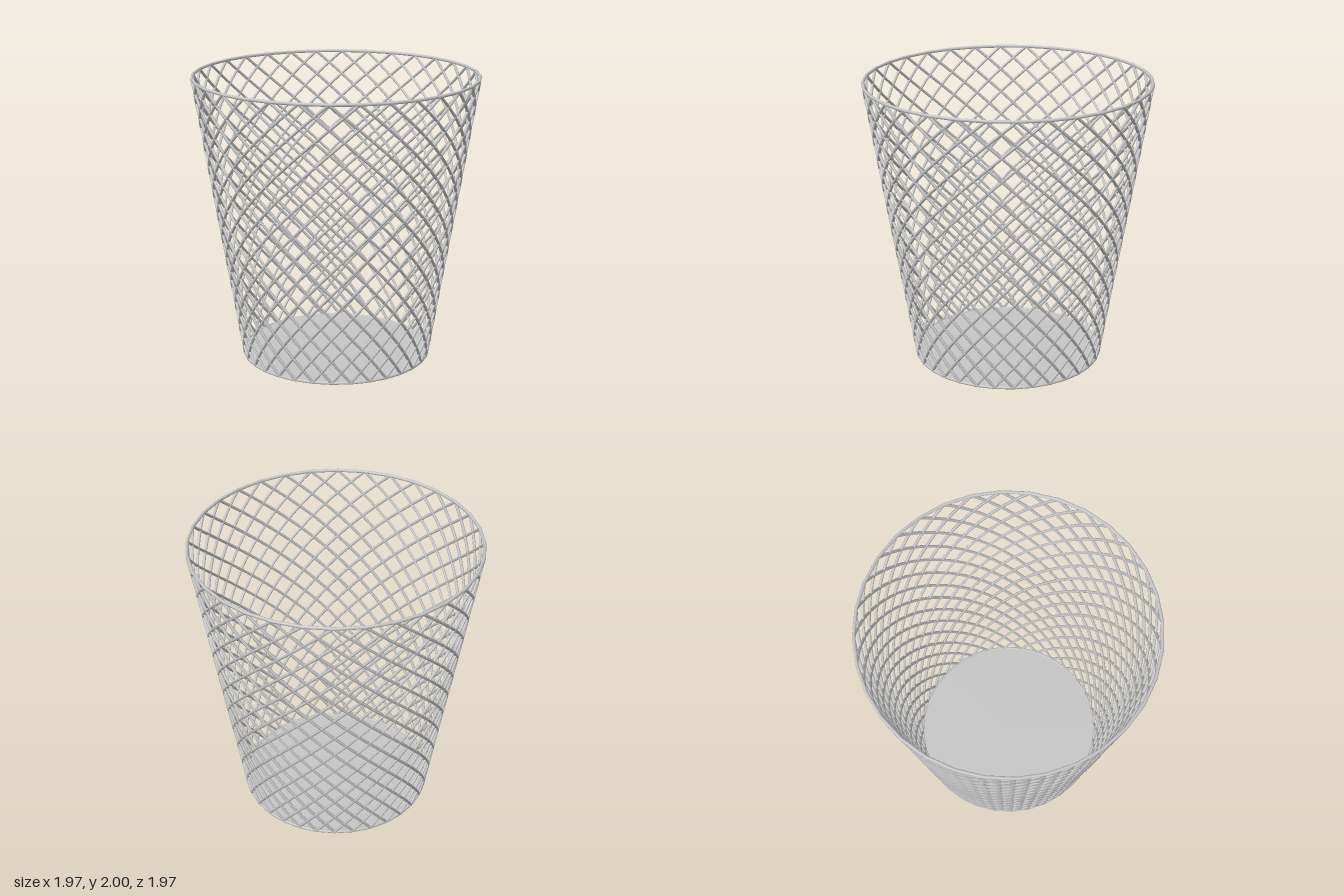
import * as THREE from 'three';

const SIDES = 32;            // wires in each direction, and rim segments
const TWIST = (12 / SIDES) * Math.PI * 2;
const WIRE = 0.01;
const Y0 = 0.011, Y1 = 1.989;
const R0 = 0.655, R1 = 0.976;

// One helical wire running up the tapered wall
class WireCurve extends THREE.Curve {
  constructor(direction) {
    super();
    this.direction = direction;
  }
  getPoint(t, target = new THREE.Vector3()) {
    const angle = this.direction * TWIST * t;
    const r = THREE.MathUtils.lerp(R0, R1, t);
    return target.set(r * Math.sin(angle), THREE.MathUtils.lerp(Y0, Y1, t), r * Math.cos(angle));
  }
}

export function createModel() {
  const model = new THREE.Group();
  model.name = 'wireBasket';
  const metal = new THREE.MeshStandardMaterial({ color: 0xc6c6c6 });
  metal.name = 'light grey metal';

  function add(geometry, name, parent = model) {
    const mesh = new THREE.Mesh(geometry, metal);
    mesh.name = name;
    parent.add(mesh);
    return mesh;
  }

  // Crossing wires, leaning both ways
  for (const direction of [1, -1]) {
    const wires = new THREE.Group();
    wires.name = direction > 0 ? 'leftLeaningWires' : 'rightLeaningWires';
    const geometry = new THREE.TubeGeometry(new WireCurve(direction), 36, WIRE, 6, false);
    for (let i = 0; i < SIDES; i++) {
      add(geometry, 'wire', wires).rotation.y = (i / SIDES) * Math.PI * 2;
    }
    model.add(wires);
  }

  // Rings at the top and bottom
  const ring = (radius, y, name) => {
    const mesh = add(new THREE.TorusGeometry(radius, 0.011, 8, SIDES), name);
    mesh.rotation.x = Math.PI / 2;
    mesh.position.y = y;
  };
  ring(R1, Y1, 'topRim');
  ring(R0, Y0, 'bottomRing');

  // Solid floor
  add(new THREE.CylinderGeometry(R0, R0, 0.008, SIDES), 'floor').position.y = Y0;

  return model;
}
